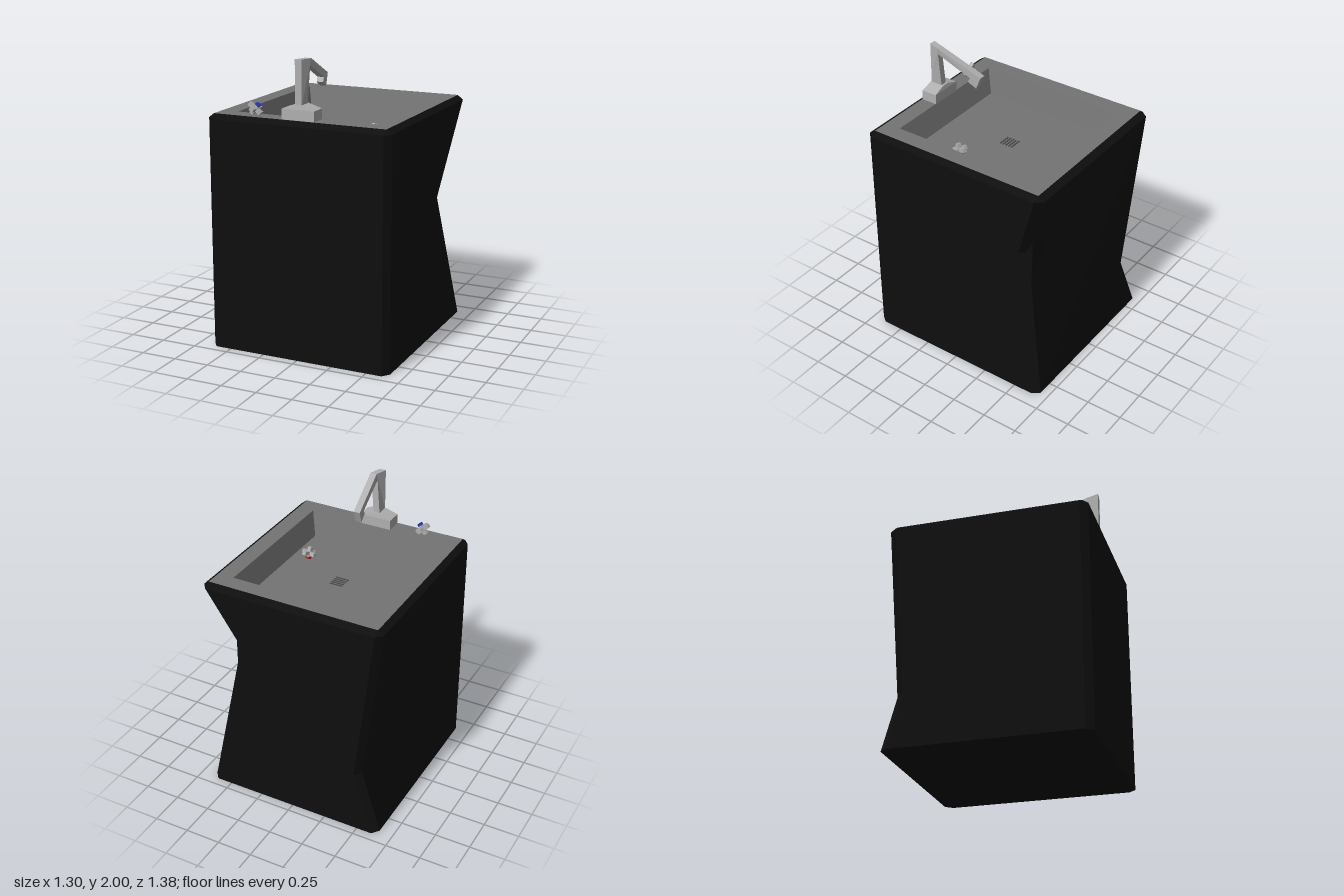
import * as THREE from 'three';

const V = (x, y, z) => new THREE.Vector3(x, y, z);
const material = (color) => new THREE.MeshStandardMaterial({ color });
const black = material(0x0e0e0e);
const stone = material(0x747474);
const slot = material(0x484848);
const metal = material(0xb0b0b0);

function mesh(name, geometry, mat) {
  const m = new THREE.Mesh(geometry, mat);
  m.name = name;
  return m;
}

function box(name, size, pos, mat) {
  const m = mesh(name, new THREE.BoxGeometry(...size), mat);
  m.position.set(...pos);
  return m;
}

// Faces given as corner loops, each split as a fan from its first corner
// and shaded evenly with the average normal of the whole loop
function fromFaces(faces) {
  const points = [], normals = [];
  for (const f of faces) {
    const normal = V(0, 0, 0);
    f.forEach((p, i) => normal.add(p.clone().cross(f[(i + 1) % f.length])));
    normal.normalize();
    for (let i = 1; i < f.length - 1; i++) {
      points.push(f[0], f[i], f[i + 1]);
      for (let k = 0; k < 3; k++) normals.push(...normal.toArray());
    }
  }
  const g = new THREE.BufferGeometry().setFromPoints(points);
  g.setAttribute('normal', new THREE.Float32BufferAttribute(normals, 3));
  return g;
}

// Faces joining two closed rings, the first one lower or further out
const band = (a, b) => a.map((p, i) => {
  const j = (i + 1) % a.length;
  return b[i].equals(b[j]) ? [p, a[j], b[j]] : [p, a[j], b[j], b[i]];
});

// Cabinet with bevelled corners, its two back corners pinched inward
function cabinet() {
  const plan = [[0.65, 0.64], [0.65, -0.64], [0.61, -0.69], [-0.61, -0.69],
    [-0.65, -0.64], [-0.65, 0.64], [-0.61, 0.69], [0.61, 0.69]];
  const b = plan.map(([x, z]) => V(x, 0, z));
  const t = plan.map(([x, z]) => V(x, 1.58, z));
  const rim = plan.map(([x, z]) => V(Math.sign(x) * 0.61, 1.61, Math.sign(z) * 0.645));
  const pinch = (i, dx, y, dz) => V(plan[i][0] + dx, y, plan[i][1] + dz);
  const pA = pinch(1, -0.13, 1.03, 0.2), pB = pinch(2, -0.13, 1.03, 0.2);
  const qB = pinch(3, 0.155, 0.42, 0.035), qA = pinch(4, 0.155, 0.42, 0.035);
  const faces = [
    // left side
    [b[0], b[1], pA, t[1], t[0]],
    [b[1], b[2], pB, pA], [pA, pB, t[2], t[1]],
    // back, folded from one top corner to the opposite bottom corner
    [pB, b[2], t[3], t[2]], [qB, t[3], b[2], b[3]],
    [b[3], b[4], qA, qB], [qB, qA, t[4], t[3]],
    // right side
    [t[5], t[4], qA, b[4], b[5]],
    ...[5, 6, 7].map((i) => [b[i], b[(i + 1) % 8], t[(i + 1) % 8], t[i]]),
    ...band(t, rim),
    [...b].reverse(),
  ];
  return mesh('cabinet', fromFaces(faces), black);
}

// Flat rim, sloping walls and floor of the basin
function basin() {
  const ring = (x, y, z) => [V(x, y, z), V(x, y, -z), V(-x, y, -z), V(-x, y, z)];
  const outer = ring(0.61, 1.61, 0.645);
  const lip = ring(0.495, 1.61, 0.53);
  const floor = ring(0.453, 1.44, 0.48);
  return mesh('basin', fromFaces([...band(outer, lip), ...band(lip, floor), floor]), stone);
}

function faucet() {
  const g = new THREE.Group();
  g.name = 'faucet';
  g.add(box('faucetBase', [0.23, 0.07, 0.115], [0, 1.645, 0.5825], metal));

  // Sloped top of the base
  const ring = (x, y, z0, z1) => [V(x, y, z1), V(x, y, z0), V(-x, y, z0), V(-x, y, z1)];
  const low = ring(0.115, 1.68, 0.525, 0.64), high = ring(0.025, 1.71, 0.53, 0.635);
  g.add(mesh('faucetCollar', fromFaces([...band(low, high), high]), metal));

  // Column, sloping arm and spout as one side profile
  const profile = [[0.63, 1.7], [0.63, 2], [0.545, 2], [0.225, 1.86], [0.258, 1.775],
    [0.322, 1.81], [0.303, 1.84], [0.55, 1.955], [0.545, 1.7]];
  const shape = new THREE.Shape(profile.map((p) => new THREE.Vector2(...p)));
  const geo = new THREE.ExtrudeGeometry(shape, { depth: 0.046, bevelEnabled: false });
  geo.translate(0, 0, -0.023).rotateY(-Math.PI / 2);
  // Swing the arm sideways and twist the head of the column
  const pos = geo.attributes.position;
  for (let i = 0; i < pos.count; i++) {
    const y = pos.getY(i), z = pos.getZ(i);
    const shift = z > 0.54
      ? 0.028 * ((0.63 - z) / 0.085) * Math.max(0, (y - 1.7) / 0.3)
      : 0.028 - 0.038 * (0.545 - z) / 0.32;
    pos.setX(i, pos.getX(i) + shift);
  }
  geo.computeVertexNormals();
  g.add(mesh('faucetNeck', geo, metal));
  return g;
}

// Cross handle with a coloured cap on its stem
function handle(name, capColor) {
  const g = new THREE.Group();
  g.name = name;
  g.add(box('handleBarAcross', [0.105, 0.026, 0.03], [0, 0, 0], metal));
  g.add(box('handleBarAlong', [0.03, 0.026, 0.115], [0, 0, 0], metal));
  g.add(box('handleStem', [0.028, 0.07, 0.028], [0, -0.008, 0], metal));
  g.add(box('handleCap', [0.029, 0.015, 0.029], [0, 0.0335, 0], material(capColor)));
  return g;
}

export function createModel() {
  const model = new THREE.Group();
  model.name = 'sink';
  model.add(cabinet(), basin(), faucet());

  // Inner carcass, showing through the pinched corner
  model.add(box('innerCarcass', [0.99, 1.3, 1.06], [0, 0.75, 0], black));

  // Drain slots
  for (let i = 0; i < 5; i++)
    model.add(box('drainSlot', [0.094, 0.004, 0.01], [0, 1.441, -0.047 + i * 0.022], slot));

  const cold = handle('coldHandle', 0x2838c0);
  cold.position.set(-0.337, 1.653, 0.58);
  cold.rotation.z = -0.65;

  // Loose handle lying in the basin
  const hot = handle('hotHandle', 0xc02020);
  hot.position.set(0.325, 1.49, 0.17);
  hot.rotation.set(Math.PI + 0.35, -0.25, 0, 'YXZ');

  model.add(cold, hot);
  return model;
}
